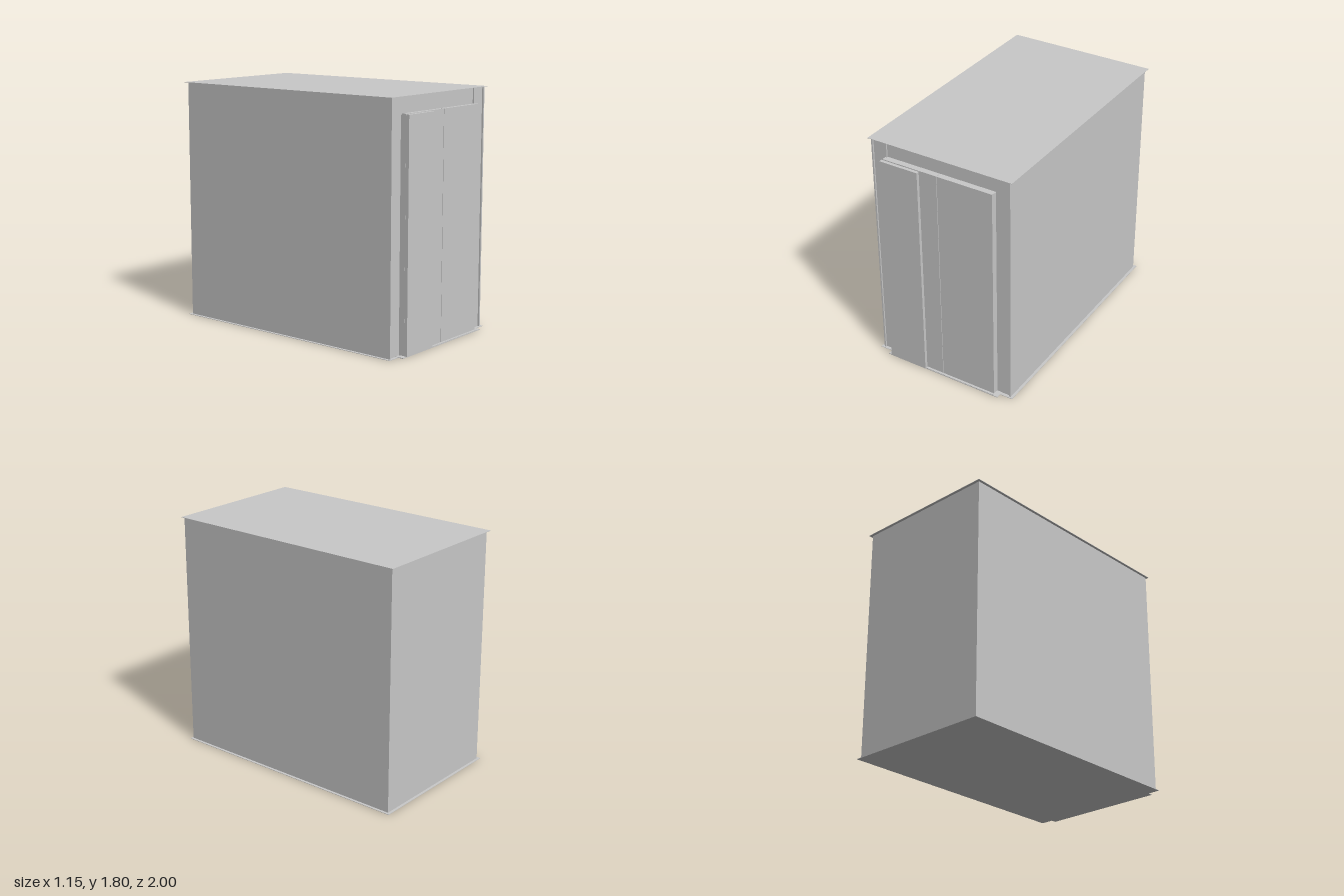
import * as THREE from 'three';

export function createModel() {
  const model = new THREE.Group();
  model.name = 'liftCabin';
  const steel = new THREE.MeshStandardMaterial({ color: 0xc8c8c8 });
  steel.name = 'brushed steel grey';

  // Box given by its extents on each axis
  const slab = (name, x0, x1, y0, y1, z0, z1) => {
    const mesh = new THREE.Mesh(new THREE.BoxGeometry(x1 - x0, y1 - y0, z1 - z0), steel);
    mesh.position.set((x0 + x1) / 2, (y0 + y1) / 2, (z0 + z1) / 2);
    mesh.name = name;
    model.add(mesh);
  };

  const height = 1.8, sheet = 0.003, wall = 0.557, inner = 0.545;
  const back = -0.98, front = 0.938, top = height - sheet;

  // Thin floor and roof sheets overhang the walls
  slab('floor', -0.577, 0.577, 0, sheet, -1, 0.95);
  slab('roof', -0.577, 0.577, top, height, -1, 0.95);

  // Cabin shell
  slab('backWall', -inner, inner, sheet, top, back, back + 0.012);
  for (const [side, s] of [['left', 1], ['right', -1]]) {
    const span = (a, b) => [Math.min(s * a, s * b), Math.max(s * a, s * b)];
    slab(side + 'Wall', ...span(inner, wall), sheet, top, back, front);
    slab(side + 'Jamb', ...span(0.44, inner), sheet, top, 0.9, 0.926);
  }
  slab('header', -0.44, 0.44, 1.675, top, 0.895, 0.915);

  // Door sill with raised guide rails
  slab('sill', -0.478, 0.478, 0, 0.005, 0.9, 0.99);
  for (const z of [0.952, 0.984]) slab('sillRail', -0.44, 0.44, 0.005, 0.008, z, z + 0.004);

  // Sliding door leaves: two in the inner track, one in the outer track
  slab('leftDoorLeaf', 0.002, 0.438, 0.008, 1.684, 0.938, 0.971);
  slab('rightDoorLeaf', -0.442, -0.002, 0.008, 1.684, 0.938, 0.971);
  slab('outerDoorLeaf', -0.447, -0.14, 0.008, 1.68, 0.975, 1);

  // Backing strip behind the leaves closes the gap to the jambs
  slab('doorBacking', -0.438, 0.438, 0.005, 1.676, 0.915, 0.938);
  return model;
}
